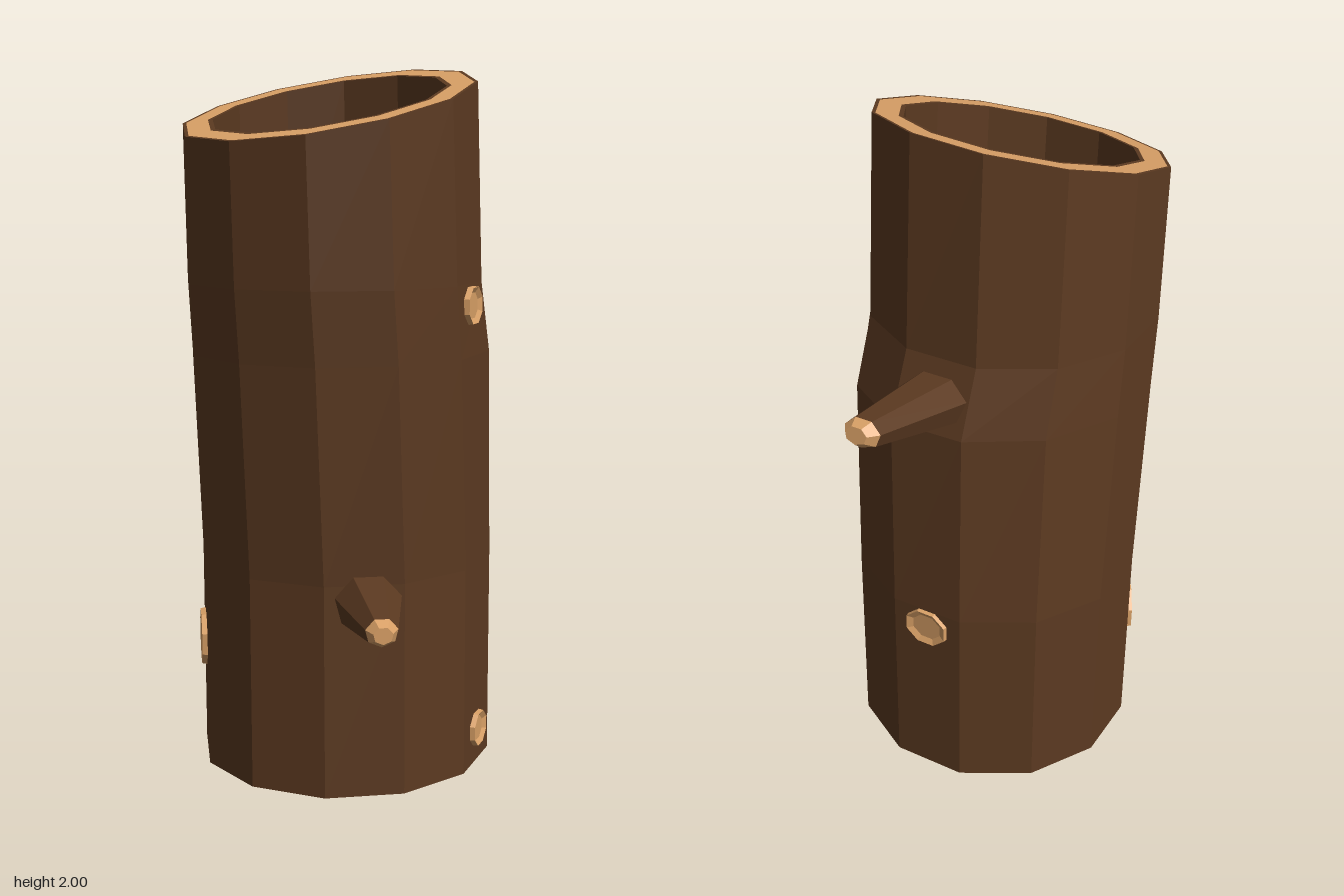
import * as THREE from 'three';

const SIDES = 12;
const bark = new THREE.MeshStandardMaterial({ color: 0x5c3a21, flatShading: true });
const wood = new THREE.MeshStandardMaterial({ color: 0xd9a066, flatShading: true });

// Trunk sections: height, centre x, centre z, radius, radius towards the back
const SECTIONS = [
  { y: 0, x: -0.045, z: 0.1, r: 0.427, back: 0.43 },
  { y: 0.6, x: -0.045, z: 0.1, r: 0.427, back: 0.43 },
  { y: 1.2, x: -0.03, z: 0.15, r: 0.424, back: 0.46 },
  { y: 1.4, x: -0.025, z: 0.175, r: 0.42, back: 0.417 },
  { y: null, x: -0.015, z: 0.205, r: 0.412, back: 0.41 }, // slanted cut
];
const TOP = SECTIONS.length - 1;

// One loop of points around a section, moved inwards by inset
function ring(index, inset) {
  const s = SECTIONS[index];
  return Array.from({ length: SIDES }, (_, i) => {
    const a = (i / SIDES) * Math.PI * 2;
    const c = Math.cos(a);
    const x = s.x + Math.sin(a) * (s.r - inset);
    const z = s.z + c * ((c < 0 ? s.back : s.r) - inset);
    return [x, s.y ?? 2 - (z + 0.205) * 0.268, z];
  });
}

// Joins successive loops with flat faces
function loft(name, rows, material) {
  const pos = [];
  for (let k = 0; k < rows.length - 1; k++) {
    for (let i = 0; i < SIDES; i++) {
      const j = (i + 1) % SIDES;
      const a = rows[k][i], b = rows[k][j], c = rows[k + 1][j], d = rows[k + 1][i];
      pos.push(...a, ...b, ...c, ...a, ...c, ...d);
    }
  }
  const geo = new THREE.BufferGeometry();
  geo.setAttribute('position', new THREE.Float32BufferAttribute(pos, 3));
  geo.computeVertexNormals();
  const mesh = new THREE.Mesh(geo, material);
  mesh.name = name;
  return mesh;
}

// Tapered branch stub with a bevelled bare-wood end
function branch(name, from, to, r0, r1, flat) {
  const group = new THREE.Group();
  group.name = name;
  const start = new THREE.Vector3(...from);
  const end = new THREE.Vector3(...to);
  const length = start.distanceTo(end);
  const piece = (label, top, bottom, h, at, material) => {
    const geo = new THREE.CylinderGeometry(top, bottom, h, 7);
    geo.rotateX(Math.PI / 2).translate(0, 0, at + h / 2).scale(1, flat, 1);
    const mesh = new THREE.Mesh(geo, material);
    mesh.name = label;
    group.add(mesh);
  };
  const bevel = 0.03;
  piece('branchBark', r1, r0, length - bevel, 0, bark);
  piece('branchEnd', r1 * 0.6, r1, bevel, length - bevel, wood);
  group.position.copy(start);
  group.lookAt(end);
  return group;
}

// Shallow dished knot set on the trunk face with the given heading
function knot(name, degrees, y, radius) {
  let k = 0;
  while (k < TOP - 2 && SECTIONS[k + 1].y < y) k++;
  const lo = SECTIONS[k], hi = SECTIONS[k + 1];
  const t = (y - lo.y) / (hi.y - lo.y);
  const mix = (key) => THREE.MathUtils.lerp(lo[key], hi[key], t);
  const a = THREE.MathUtils.degToRad(degrees);
  const r = mix('r') * Math.cos(Math.PI / SIDES);
  const profile = [[0, 0.006], [0.65, 0.006], [0.92, 0.015], [1, -0.02]]
    .map(([u, h]) => new THREE.Vector2(u * radius, h)).reverse();
  const geo = new THREE.LatheGeometry(profile, 8);
  geo.rotateY(Math.PI / 8).rotateX(Math.PI / 2).scale(1, 0.86, 1);
  const mesh = new THREE.Mesh(geo, wood);
  mesh.name = name;
  mesh.position.set(mix('x') + Math.sin(a) * r, y, mix('z') + Math.cos(a) * r);
  mesh.rotation.y = a;
  return mesh;
}

export function createModel() {
  const model = new THREE.Group();
  model.name = 'hollowLog';

  // Hollow trunk: bark outside and inside, bare wood on both cut ends
  const edge = 0.01, inner = 0.072, wall = 0.085;
  const levels = SECTIONS.map((_, i) => i);
  model.add(
    loft('outerBark', [ring(0, edge), ...levels.map((i) => ring(i, 0)), ring(TOP, edge)], bark),
    loft('topRim', [ring(TOP, edge), ring(TOP, inner)], wood),
    loft('innerBark', [ring(TOP, inner), ...levels.reverse().map((i) => ring(i, wall)), ring(0, inner)], bark),
    loft('bottomRim', [ring(0, inner), ring(0, edge)], wood),
  );

  // Branch stubs
  model.add(
    branch('frontBranch', [0.24, 0.55, 0.37], [0.455, 0.55, 0.59], 0.098, 0.044, 0.88),
    branch('backBranch', [-0.125, 1.28, -0.2], [-0.225, 1.37, -0.6], 0.108, 0.056, 0.72),
  );

  // Knots
  model.add(
    knot('frontKnot', -45, 0.35, 0.1),
    knot('upperSideKnot', 105, 1.34, 0.068),
    knot('lowerSideKnot', 105, 0.1, 0.064),
    knot('backKnot', 195, 0.54, 0.075),
  );
  return model;
}
